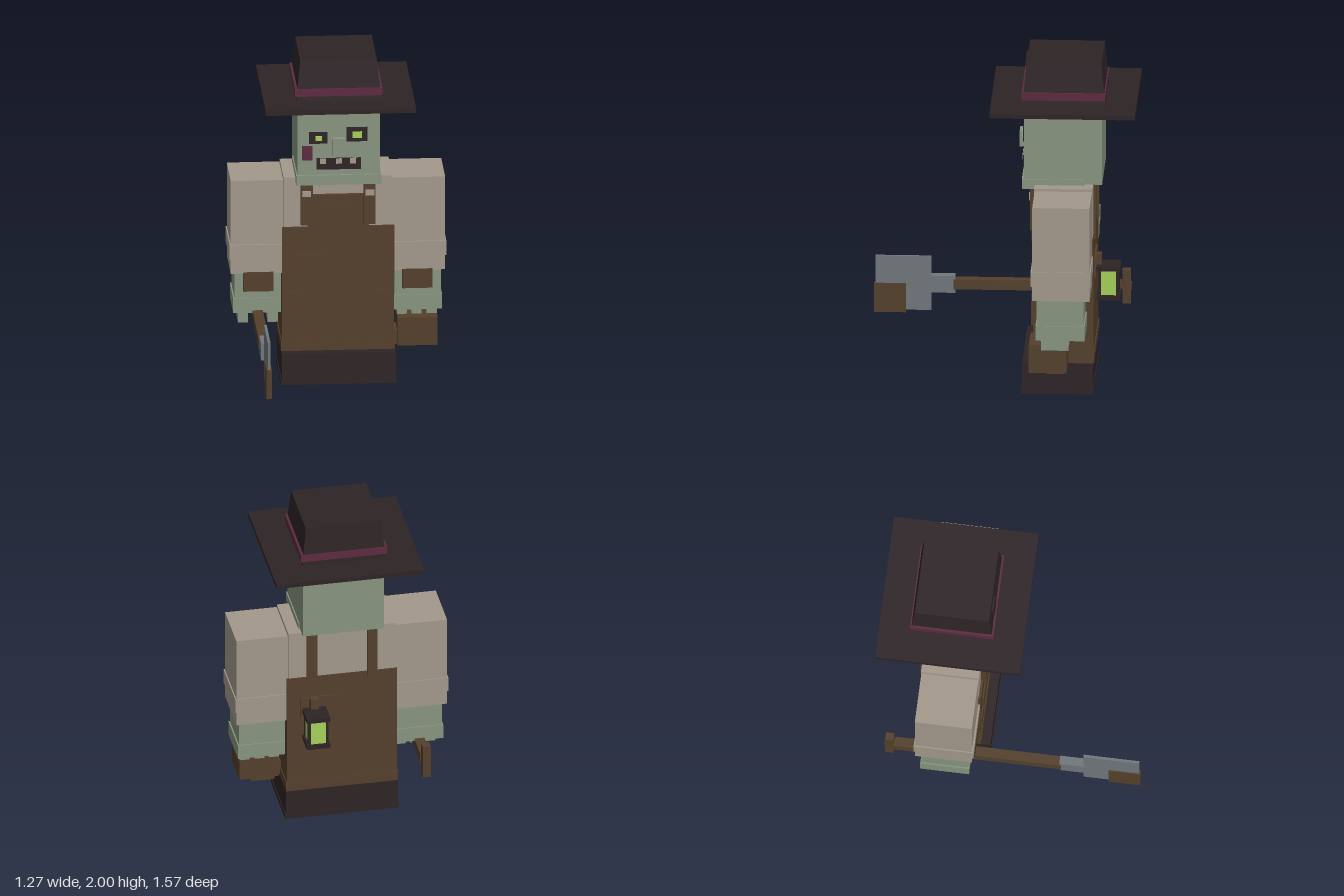
import * as THREE from 'three';

const mat = (name, color) => {
  const m = new THREE.MeshStandardMaterial({ color });
  m.name = name;
  return m;
};

export function createModel() {
  const root = new THREE.Group();
  root.name = 'gravedigger';
  const skin = mat('greenSkin', 0x87957f);
  const shirt = mat('shirtCloth', 0xa3998b);
  const denim = mat('brownOveralls', 0x54402b);
  const dark = mat('darkFelt', 0x2d2325);
  const plum = mat('plumBand', 0x5c2a40);
  const steel = mat('steel', 0x70777c);
  const glow = mat('glow', 0xa6d05a);

  // Box from its limits on each axis
  const box = (name, m, x0, x1, y0, y1, z0, z1, parent = root) => {
    const mesh = new THREE.Mesh(new THREE.BoxGeometry(x1 - x0, y1 - y0, z1 - z0), m);
    mesh.position.set((x0 + x1) / 2, (y0 + y1) / 2, (z0 + z1) / 2);
    mesh.name = name;
    parent.add(mesh);
    return mesh;
  };
  // Box mirrored to the other side
  const pair = (name, m, x0, x1, ...rest) => {
    box(name + 'Left', m, x0, x1, ...rest);
    box(name + 'Right', m, -x1, -x0, ...rest);
  };

  // Boots
  box('bootBlock', dark, -0.335, 0.335, 0.02, 0.19, -0.533, -0.118);
  box('sole', dark, -0.34, 0.34, 0, 0.03, -0.538, -0.112);

  // Overalls and shirt
  box('overalls', denim, -0.33, 0.33, 0.19, 0.955, -0.535, -0.18);
  box('overallsHem', denim, -0.335, 0.335, 0.19, 0.25, -0.54, -0.173);
  box('waistFront', denim, -0.33, 0.33, 0.62, 0.955, -0.2, -0.174);
  box('shirtBody', shirt, -0.32, 0.32, 0.9, 1.26, -0.53, -0.187);
  box('collar', shirt, -0.11, 0.11, 1.2, 1.245, -0.2, -0.175);
  box('bib', denim, -0.18, 0.18, 0.89, 1.155, -0.2, -0.165);
  box('bibPocket', denim, -0.09, 0.09, 0.98, 1.095, -0.17, -0.157);
  box('bellyPatch', denim, -0.26, -0.08, 0.65, 0.78, -0.18, -0.165);
  pair('legPocket', denim, 0.205, 0.31, 0.41, 0.555, -0.19, -0.17);
  pair('frontStrap', denim, 0.15, 0.22, 0.97, 1.24, -0.2, -0.158);
  pair('buckle', shirt, 0.16, 0.212, 1.15, 1.185, -0.165, -0.151);
  pair('backStrap', denim, 0.15, 0.21, 0.92, 1.25, -0.546, -0.52);
  box('backPocket', denim, 0.02, 0.25, 0.69, 0.82, -0.546, -0.52);

  // Arms
  pair('sleeve', shirt, 0.322, 0.63, 0.67, 1.245, -0.527, -0.19);
  pair('sleeveFold', shirt, 0.322, 0.637, 0.76, 0.85, -0.533, -0.18);
  pair('forearm', skin, 0.333, 0.606, 0.42, 0.68, -0.49, -0.215);
  pair('hand', skin, 0.332, 0.614, 0.42, 0.51, -0.497, -0.208);
  pair('armPatch', denim, 0.378, 0.556, 0.56, 0.678, -0.22, -0.182);
  for (const x of [0.35, 0.435, 0.525]) {
    pair('finger', skin, x, x + 0.06, 0.35, 0.43, -0.4, -0.24);
  }

  // Head and face
  box('head', skin, -0.243, 0.243, 1.265, 1.74, -0.583, -0.125);
  box('jaw', skin, -0.25, 0.25, 1.235, 1.295, -0.48, -0.112);
  box('nose', skin, -0.04, 0.036, 1.425, 1.525, -0.13, -0.09);
  box('rightEyeSocket', dark, -0.175, -0.065, 1.49, 1.56, -0.13, -0.116);
  box('leftEyeSocket', dark, 0.045, 0.17, 1.5, 1.586, -0.13, -0.116);
  box('rightEye', glow, -0.138, -0.1, 1.51, 1.538, -0.118, -0.111);
  box('leftEye', glow, 0.08, 0.136, 1.522, 1.562, -0.118, -0.111);
  box('cheekScar', plum, -0.217, -0.155, 1.388, 1.475, -0.13, -0.116);
  box('mouth', dark, -0.13, 0.13, 1.33, 1.398, -0.13, -0.114);
  for (const x of [-0.093, 0, 0.083]) {
    box('tooth', shirt, x - 0.017, x + 0.017, 1.366, 1.398, -0.118, -0.109);
  }

  // Hat with a tapered crown
  const hat = new THREE.Group();
  hat.name = 'hat';
  root.add(hat);
  box('brim', dark, -0.442, 0.442, 1.733, 1.76, -0.785, 0.07, hat);
  const crown = box('crown', dark, -0.25, 0.25, 1.76, 2, -0.602, -0.115, hat);
  const p = crown.geometry.attributes.position;
  for (let i = 0; i < p.count; i++) {
    if (p.getY(i) > 0) p.setXYZ(i, p.getX(i) * 0.9, p.getY(i), p.getZ(i) * 0.9);
  }
  crown.geometry.computeVertexNormals();
  box('hatBand', plum, -0.257, 0.257, 1.785, 1.83, -0.602, -0.11, hat);
  const patch = box('hatPatch', dark, -0.137, -0.053, 1.893, 1.962, -0.141, -0.12, hat);
  patch.rotation.x = -0.1;

  // Spade held level in the right hand
  const spade = new THREE.Group();
  spade.name = 'spade';
  root.add(spade);
  box('shaft', denim, -0.5, -0.44, 0.375, 0.435, -0.665, 0.32, spade);
  box('gripStem', denim, -0.49, -0.45, 0.385, 0.425, -0.725, -0.66, spade);
  box('grip', denim, -0.494, -0.446, 0.3, 0.508, -0.72, -0.67, spade);
  box('socket', steel, -0.496, -0.444, 0.352, 0.456, 0.31, 0.455, spade);
  box('blade', steel, -0.478, -0.462, 0.238, 0.57, 0.45, 0.78, spade);
  box('bladeDirt', denim, -0.486, -0.454, 0.224, 0.402, 0.6, 0.787, spade);

  // Bag in the left hand
  const bag = new THREE.Group();
  bag.name = 'bag';
  root.add(bag);
  box('bagBody', denim, 0.35, 0.585, 0.21, 0.382, -0.39, -0.168, bag);
  box('bagFlap', denim, 0.37, 0.51, 0.18, 0.215, -0.37, -0.27, bag);
  box('bagStrap', denim, 0.325, 0.36, 0.2, 0.29, -0.36, -0.23, bag);

  // Lantern on the back
  const lantern = new THREE.Group();
  lantern.name = 'lantern';
  root.add(lantern);
  const lx = 0.17, lz = -0.62;
  for (const y of [0.55, 0.728]) {
    box('lanternCap', dark, lx - 0.07, lx + 0.07, y, y + 0.027, lz - 0.07, lz + 0.07, lantern);
  }
  box('lanternGlass', glow, lx - 0.055, lx + 0.055, 0.57, 0.735, lz - 0.055, lz + 0.055, lantern);
  for (const sx of [-1, 1]) for (const sz of [-1, 1]) {
    const x = lx + sx * 0.053, z = lz + sz * 0.053;
    box('lanternPost', dark, x - 0.008, x + 0.008, 0.57, 0.735, z - 0.008, z + 0.008, lantern);
  }
  box('lanternLoop', denim, lx - 0.025, lx + 0.025, 0.74, 0.82, -0.578, -0.53, lantern);

  return root;
}
